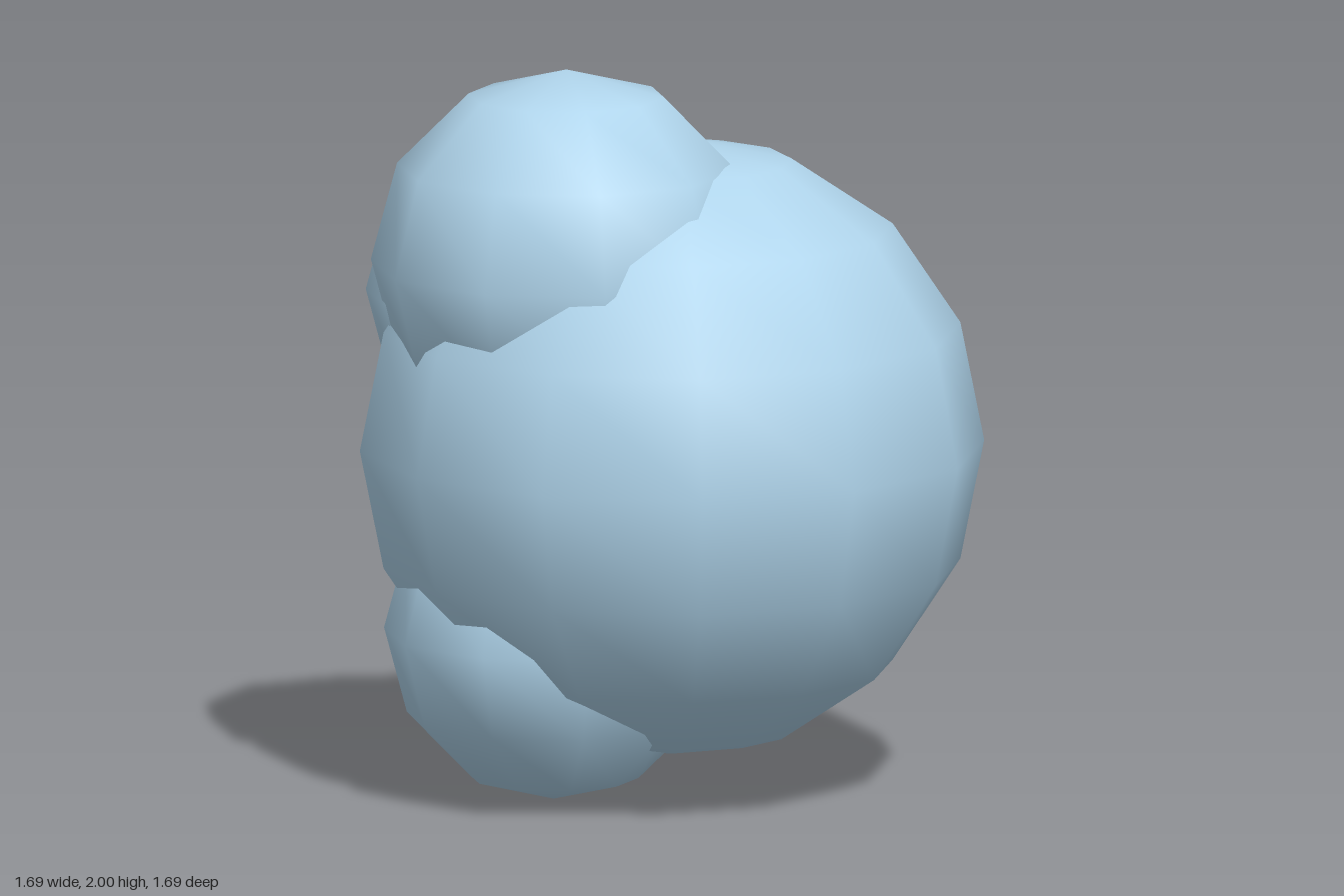
import * as THREE from 'three';

const material = new THREE.MeshStandardMaterial({ color: 0xb0d5ec });

// Smooth-shaded coarse ball with a vertex column facing +z
function addBall(group, name, radius, columns, rings, position) {
  const geometry = new THREE.SphereGeometry(radius, columns, rings);
  geometry.rotateY(Math.PI / 2);
  const ball = new THREE.Mesh(geometry, material);
  ball.name = name;
  ball.position.set(...position);
  group.add(ball);
}

export function createModel() {
  const group = new THREE.Group();
  group.name = 'ballCluster';

  // Large main ball
  addBall(group, 'mainBall', 0.845, 12, 8, [0, 0.95, 0]);

  // Smaller balls sunk into its side
  addBall(group, 'upperBall', 0.53, 10, 6, [-0.215, 1.47, 0.215]);
  addBall(group, 'sideBall', 0.405, 10, 6, [-0.43, 1.35, 0.075]);
  addBall(group, 'lowerBall', 0.46, 10, 6, [-0.25, 0.46, 0.22]);

  return group;
}
